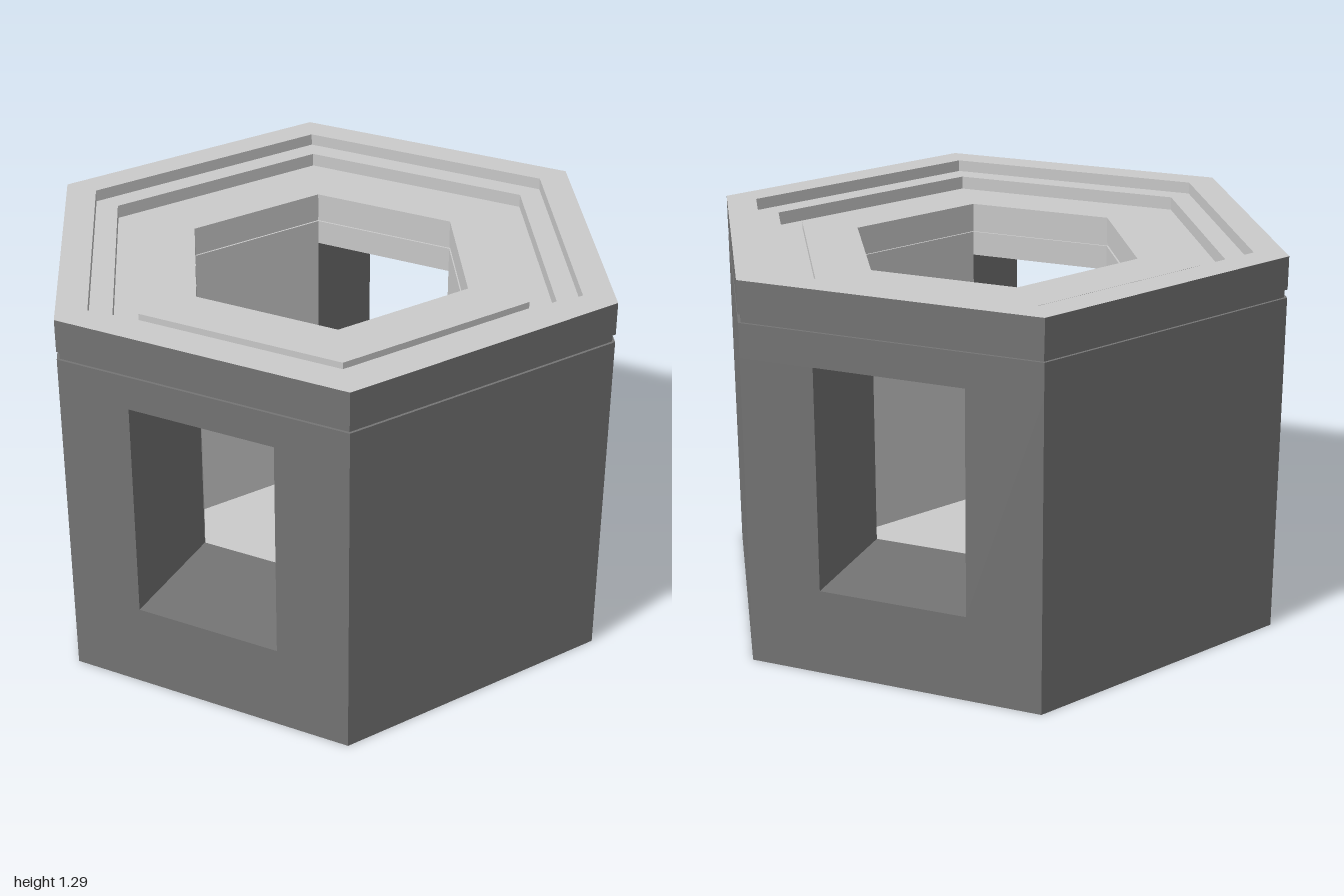
import * as THREE from 'three';

const FLOOR = 0.1, SILL = 0.29, LINTEL = 1.04, TOP = 1.29;
const APOTHEM = Math.sqrt(3) / 2;

const darkStone = new THREE.MeshStandardMaterial({ color: 0x757575, flatShading: true });
const paleStone = new THREE.MeshStandardMaterial({ color: 0xcccccc, flatShading: true });

function addMesh(group, name, geometry, material) {
  const flat = geometry.index ? geometry.toNonIndexed() : geometry;
  flat.computeVertexNormals();
  const mesh = new THREE.Mesh(flat, material);
  mesh.name = name;
  group.add(mesh);
  return mesh;
}

// Six-sided turned shell; profile is [corner radius, height]
function hexShell(profile) {
  const points = profile.map(([r, y]) => new THREE.Vector2(r, y));
  return new THREE.LatheGeometry(points, 6, Math.PI / 6);
}

// Upright faces along an [x, z] path, from sill to lintel height
function wallStrip(path) {
  const pos = [];
  for (let i = 0; i < path.length - 1; i++) {
    const [ax, az] = path[i], [bx, bz] = path[i + 1];
    pos.push(ax, SILL, az, bx, SILL, bz, bx, LINTEL, bz);
    pos.push(ax, SILL, az, bx, LINTEL, bz, ax, LINTEL, az);
  }
  const g = new THREE.BufferGeometry();
  g.setAttribute('position', new THREE.Float32BufferAttribute(pos, 3));
  return g;
}

export function createModel() {
  const group = new THREE.Group();
  group.name = 'hexagonalTowerSection';

  // Underside and outer wall up to the window sills
  addMesh(group, 'baseOuter', hexShell([[0, 0], [1, 0], [1, SILL]]), darkStone);

  // Outer wall above the windows, with its narrow groove
  addMesh(group, 'upperOuter', hexShell([
    [1, LINTEL], [1, 1.153], [0.99, 1.153], [0.99, 1.18], [1, 1.18], [1, TOP],
  ]), darkStone);

  // Sunken floor of the central well
  addMesh(group, 'wellFloor', hexShell([[0.5, SILL], [0.5, FLOOR], [0, FLOOR]]), paleStone);

  // Stepped rim, raised inner collar and grooved top of the well
  addMesh(group, 'steppedRim', hexShell([
    [1, TOP], [0.885, TOP], [0.885, 1.25], [0.8, 1.25], [0.8, 1.205],
    [0.71, 1.205], [0.71, 1.227], [0.5, 1.227],
    [0.5, 1.14], [0.507, 1.14], [0.507, 1.125], [0.5, 1.125], [0.5, LINTEL],
  ]), paleStone);

  // Outer walls with the window reveals, and the pale well walls behind them
  const a = APOTHEM;
  const outerPath = [
    [0.25, a / 2], [0.25, a], [0.5, a], [1, 0], [0.5, -a], [0.25, -a], [0.25, -a / 2],
  ];
  const wellPath = [[0.25, -a / 2], [0.5, 0], [0.25, a / 2]];
  ['left', 'right'].forEach((side, i) => {
    addMesh(group, side + 'Wall', wallStrip(outerPath), darkStone).rotation.y = i * Math.PI;
    addMesh(group, side + 'WellWall', wallStrip(wellPath), paleStone).rotation.y = i * Math.PI;
  });

  // Sill and lintel faces of both windows
  for (const [side, s] of [['front', 1], ['back', -1]]) {
    for (const [part, y, turn] of [['Sill', SILL, -1], ['Lintel', LINTEL, 1]]) {
      const face = addMesh(group, side + part, new THREE.PlaneGeometry(0.5, a / 2), darkStone);
      face.rotation.x = turn * Math.PI / 2;
      face.position.set(0, y, s * a * 0.75);
    }
  }
  return group;
}
